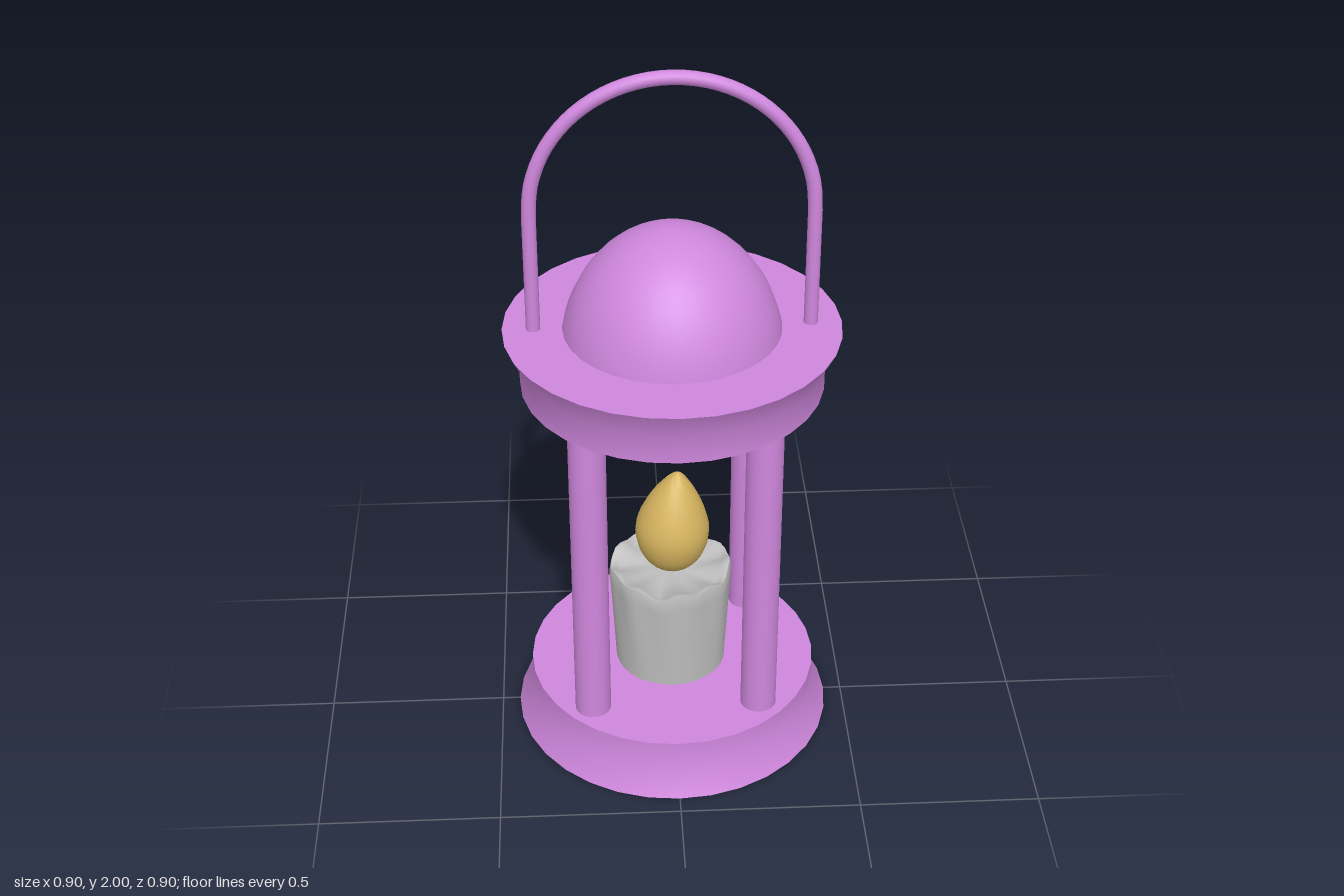
import * as THREE from 'three';
import { mergeVertices, toCreasedNormals } from 'three/addons/utils/BufferGeometryUtils.js';

const paint = new THREE.MeshStandardMaterial({ color: 0xcf87dd });
paint.name = 'orchid paint';
const wax = new THREE.MeshStandardMaterial({ color: 0xbebebe });
wax.name = 'grey wax';
const fire = new THREE.MeshStandardMaterial({ color: 0xd6b45f });
fire.name = 'gold flame';

function lathe(points, segments = 32) {
  return new THREE.LatheGeometry(points.map(([r, y]) => new THREE.Vector2(r, y)), segments);
}

// Weld the lathe seam after reshaping, then shade with sharp edges kept
function finish(geometry, crease) {
  geometry.deleteAttribute('uv');
  geometry.deleteAttribute('normal');
  return toCreasedNormals(mergeVertices(geometry, 1e-5), crease);
}

// Candle: wavy melted rim, vertical drips that fade towards the foot
function candleGeometry() {
  const profile = [[0, 0.16]];
  for (let i = 0; i <= 10; i++) profile.push([0.157 + 0.0015 * i, 0.16 + 0.031 * i]);
  profile.push([0.168, 0.486], [0.155, 0.485], [0.142, 0.474], [0.07, 0.468], [0, 0.468]);
  const geometry = lathe(profile, 48);
  const pos = geometry.attributes.position;
  for (let i = 0; i < pos.count; i++) {
    const x = pos.getX(i), y = pos.getY(i), z = pos.getZ(i);
    const r = Math.hypot(x, z);
    const a = r > 1e-6 ? Math.atan2(x, z) : 0;
    const t = (y - 0.16) / 0.31;
    const edge = THREE.MathUtils.smoothstep(r, 0.06, 0.15);
    const drip = Math.sin(7 * a + 0.8) * 0.5 + Math.sin(11 * a + 2 + 2 * t) * 0.35 + Math.sin(4 * a + 1) * 0.3;
    const scale = 1 + edge * drip * 0.035 * (0.25 + 0.75 * Math.min(t, 1));
    const wave = edge * Math.max(0, t - 0.7) * 0.022 * (Math.sin(5 * a) + Math.sin(9 * a + 1));
    pos.setXYZ(i, x * scale - 0.005, y + wave, z * scale);
  }
  return finish(geometry, 0.8);
}

// Flame: teardrop of revolution with the tip leaning slightly
function flameGeometry() {
  const outline = new THREE.SplineCurve([
    [0, 0.477], [0.045, 0.488], [0.085, 0.53], [0.104, 0.595],
    [0.095, 0.655], [0.063, 0.725], [0.025, 0.78], [0, 0.8],
  ].map(([r, y]) => new THREE.Vector2(r, y)));
  const points = outline.getPoints(20).map(p => [Math.max(p.x, 0), p.y]);
  points[0][0] = points[20][0] = 0;
  const geometry = lathe(points, 24);
  const pos = geometry.attributes.position;
  for (let i = 0; i < pos.count; i++) {
    const t = Math.max(0, (pos.getY(i) - 0.6) / 0.2);
    pos.setX(i, pos.getX(i) + 0.015 * t * t);
  }
  return finish(geometry, 0.9);
}

export function createModel() {
  const model = new THREE.Group();
  model.name = 'candleLantern';
  const add = (name, geometry, material, x = 0, y = 0, z = 0) => {
    const mesh = new THREE.Mesh(geometry, material);
    mesh.name = name;
    mesh.position.set(x, y, z);
    model.add(mesh);
    return mesh;
  };

  // Flared base and its mirrored counterpart under the roof
  add('base', finish(lathe([[0, 0], [0.45, 0], [0.408, 0.08], [0.408, 0.165], [0, 0.165]]), 0.9), paint);
  add('roofRing', finish(lathe([[0, 1.11], [0.408, 1.11], [0.408, 1.19], [0.45, 1.272], [0, 1.272]]), 0.9), paint);

  // Four corner posts
  const post = new THREE.CylinderGeometry(0.05, 0.05, 0.97, 24);
  for (const [x, sideX] of [[-0.235, 'right'], [0.232, 'left']]) {
    for (const [z, sideZ] of [[-0.232, 'Back'], [0.235, 'Front']]) {
      add(`${sideX}${sideZ}Post`, post, paint, x, 0.6375, z);
    }
  }

  // Domed roof, the upper part of a stretched sphere
  const dome = new THREE.SphereGeometry(0.3, 32, 20, 0, Math.PI * 2, 0, Math.PI / 2);
  dome.scale(1, 1.25, 1);
  add('roofDome', dome, paint, 0, 1.182, 0);

  // Carrying handle: two straight legs joined by a half circle
  const path = new THREE.CurvePath();
  const radius = 0.367, spring = 1.614;
  const arc = [];
  for (let i = 0; i <= 16; i++) {
    const a = Math.PI * (1 - i / 16);
    arc.push(new THREE.Vector3(radius * Math.cos(a), spring + radius * Math.sin(a), 0));
  }
  path.add(new THREE.LineCurve3(new THREE.Vector3(-radius, 1.25, 0), arc[0]));
  path.add(new THREE.CatmullRomCurve3(arc));
  path.add(new THREE.LineCurve3(arc[16], new THREE.Vector3(radius, 1.25, 0)));
  add('handle', new THREE.TubeGeometry(path, 64, 0.019, 12), paint);

  // Candle and flame
  add('candle', candleGeometry(), wax);
  add('flame', flameGeometry(), fire);
  return model;
}
